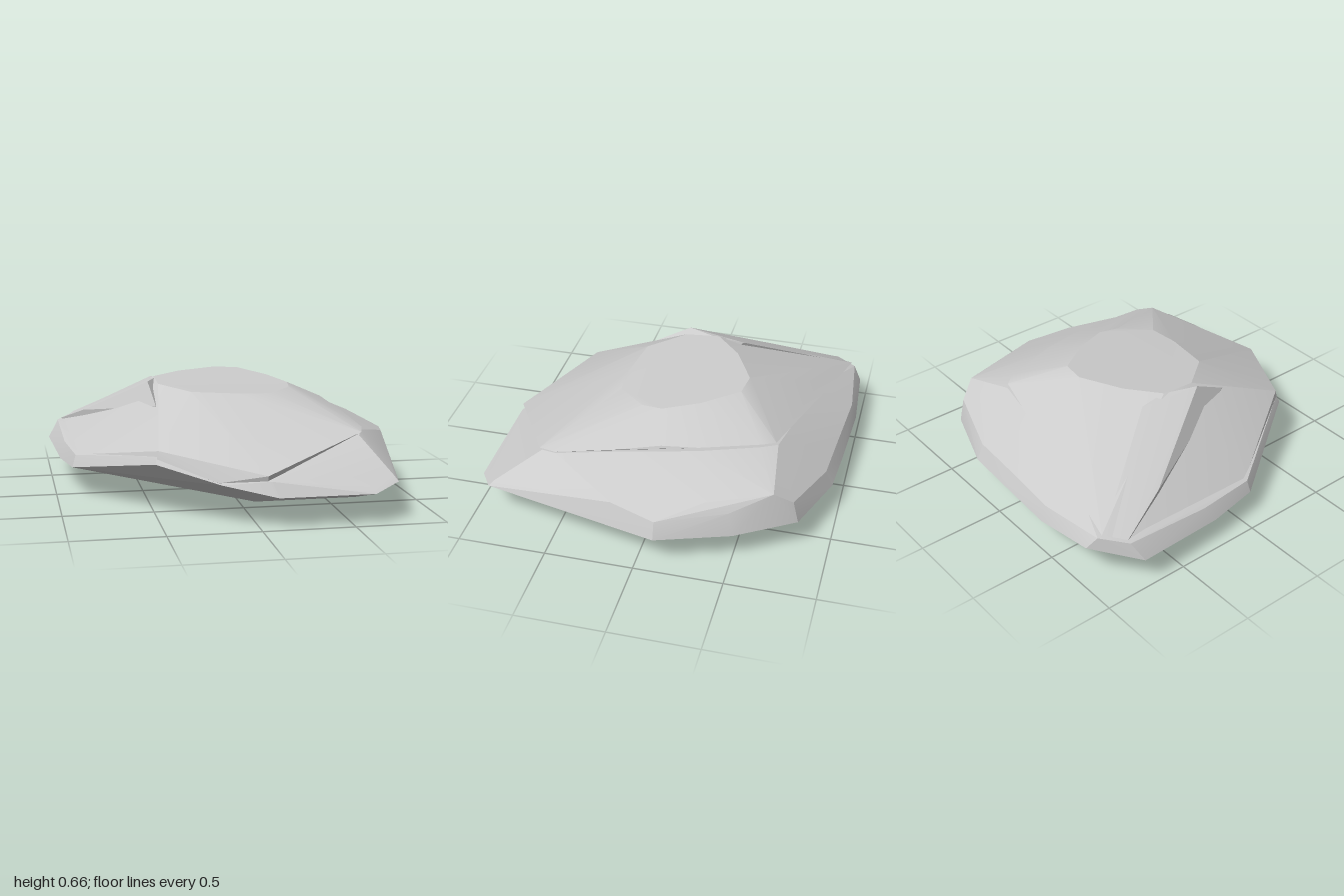
import * as THREE from 'three';
import { ConvexGeometry } from 'three/addons/geometries/ConvexGeometry.js';
import { toCreasedNormals } from 'three/addons/utils/BufferGeometryUtils.js';

const material = new THREE.MeshStandardMaterial({ color: 0xcccccc });

// One chiselled layer of stone, wrapped tightly around its corner points
function slab(name, corners) {
  const points = corners.map(c => new THREE.Vector3(...c));
  const mesh = new THREE.Mesh(toCreasedNormals(new ConvexGeometry(points), 0.25), material);
  mesh.name = name;
  return mesh;
}

export function createModel() {
  const group = new THREE.Group();
  group.name = 'rock';

  // Underside corners and the widest outline
  const underside = [
    [0.07, 0.005, -0.6], [0.4, 0, -0.6], [0.62, 0.03, -0.3], [0.2, 0.05, -0.75],
    [0.62, 0.045, 0.55], [0.05, 0.05, 0.57], [-0.05, 0.02, -0.1],
  ];
  const rim = [
    [-0.78, 0.24, -0.975], [-0.42, 0.2, -1], [0, 0.2, -0.98], [0.26, 0.19, -0.96],
    [0.64, 0.2, -0.83], [0.84, 0.2, -0.51], [0.99, 0.21, -0.11], [0.76, 0.21, 0.9],
    [0.61, 0.17, 0.99], [0.09, 0.17, 0.99], [-0.19, 0.22, 0.86], [-0.51, 0.3, 0.66],
    [-0.91, 0.17, 0.06], [-0.96, 0.16, -0.24], [-1, 0.19, -0.76],
  ];

  // Broad lower layer: bevelled edge, outer ledge, then the foot of the step
  group.add(slab('lowerLayer', [
    ...underside, ...rim,
    [0.96, 0.31, -0.11], [0.82, 0.29, 0.5], [0.74, 0.24, 0.87], [0.6, 0.2, 0.95],
    [0.82, 0.33, -0.48], [0.64, 0.33, -0.8], [0.26, 0.28, -0.92],
    [0, 0.29, -0.94], [-0.42, 0.29, -0.97], [-0.82, 0.31, -0.93],
    [-0.94, 0.29, -0.81], [-0.93, 0.25, -0.3], [-0.89, 0.24, 0.05],
    [0.7, 0.41, -0.7], [0.82, 0.38, -0.35], [0.89, 0.34, 0.15],
    [0.65, 0.425, 0.53], [0.62, 0.41, 0.62], [0.06, 0.25, 0.95], [-0.5, 0.34, 0.64],
    [0.61, 0.465, 0.2], [0.54, 0.5, -0.25], [0.43, 0.505, -0.57],
    [0.37, 0.495, -0.66], [-0.42, 0.41, -0.78],
  ]));

  // Gently tilted flat crown, given as x, z corners
  const crown = [
    [0, -0.42], [0.14, -0.4], [0.28, -0.2], [0.36, 0], [0.34, 0.12], [0.2, 0.28],
    [0.02, 0.29], [-0.25, 0.25], [-0.41, 0.05], [-0.41, -0.15], [-0.24, -0.3],
  ].map(([x, z]) => [x, 0.628 - 0.075 * z - 0.03 * x, z]);

  // Upper layer: crown and the faces that fall to the step on every side
  group.add(slab('upperLayer', [
    ...crown,
    [-0.49, 0.37, 0.645], [0.04, 0.28, 0.95], [0.63, 0.43, 0.63], [0.66, 0.44, 0.53],
    [0.62, 0.485, 0.2], [0.57, 0.522, -0.05], [0.54, 0.522, -0.25],
    [0.43, 0.525, -0.58], [0.38, 0.515, -0.65],
    [-0.42, 0.425, -0.77], [-0.83, 0.325, -0.91], [-0.92, 0.29, -0.8],
    [-0.2, 0.23, 0.85], [-0.5, 0.32, 0.65], [0.04, 0.25, 0.94],
    [-0.88, 0.24, 0.04], [-0.4, 0.3, -0.5], [0.6, 0.41, 0.5],
  ]));

  // Sharp ridge running along the right flank
  group.add(slab('flankRidge', [
    [-0.8, 0.4, -0.51], [-0.47, 0.65, 0.04], [-0.45, 0.54, 0.25],
    [-0.4, 0.645, -0.15], [-0.41, 0.63, -0.3], [-0.83, 0.32, -0.9],
    [-0.92, 0.3, -0.81], [-0.75, 0.25, -0.45], [-0.35, 0.3, 0.1],
  ]));

  return group;
}
